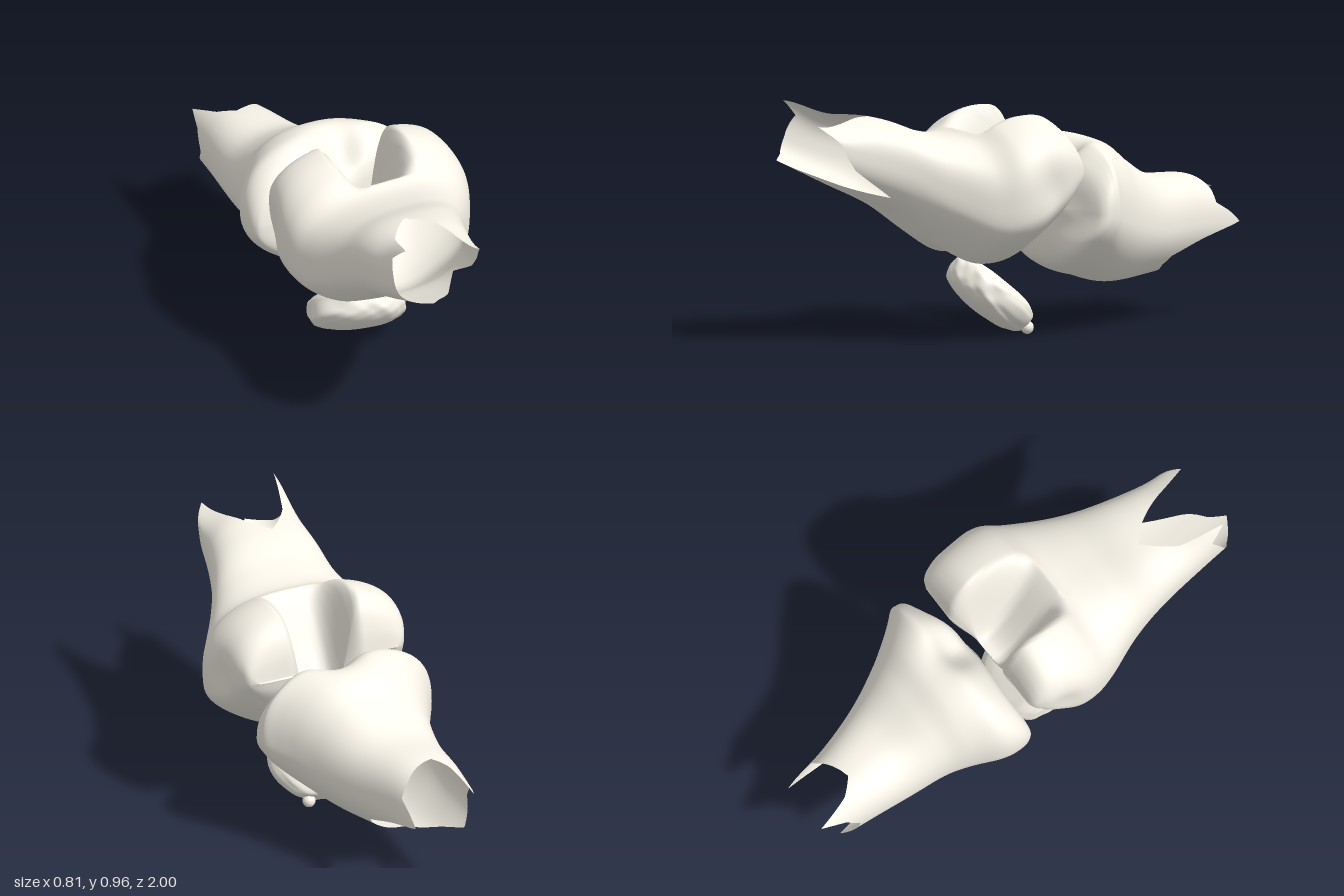
import * as THREE from 'three';

const material = new THREE.MeshStandardMaterial({ color: 0xf8f4e9, side: THREE.DoubleSide });
const smooth = (v, a, b) => THREE.MathUtils.smoothstep(v, a, b);
const bell = (v, centre, width) => Math.exp(-(((v - centre) / width) ** 2));
const lerp = THREE.MathUtils.lerp;

// Smooth spline through the rows of a station table
function station(rows, u) {
  const n = rows.length - 1;
  const i = Math.min(Math.floor(u), n - 1);
  const t = u - i;
  const [a, b, c, d] = [i - 1, i, i + 1, i + 2].map(k => rows[THREE.MathUtils.clamp(k, 0, n)]);
  return b.map((v, k) => v + 0.5 * t * (c[k] - a[k]
    + t * (2 * a[k] - 5 * v + 4 * c[k] - d[k] + t * (3 * (v - c[k]) + d[k] - a[k]))));
}

// Broken edge: z at an angle, straight lines between [degrees, z] points
function brokenEdge(points, degrees) {
  for (let i = 0; i < points.length - 1; i++) {
    const [a, za] = points[i], [b, zb] = points[i + 1];
    if (degrees <= b) return lerp(za, zb, (degrees - a) / (b - a));
  }
  return points[points.length - 1][1];
}

// Hollow bone lofted from a broken shaft end to a closed joint end.
// Station rows: z, left edge, right edge, bottom, top
function bone(name, rows, edge, power, shape) {
  const rings = 90, sides = 144, last = rows.length - 1;
  const positions = [], index = [];
  const sign = Math.sign(rows[0][0]);
  const starts = [];
  for (let j = 0; j < sides; j++) {
    const target = Math.abs(brokenEdge(edge, j * 360 / sides));
    let low = 0, high = 4;
    for (let k = 0; k < 20; k++) {
      const mid = (low + high) / 2;
      if (Math.abs(station(rows, mid)[0]) > target) low = mid; else high = mid;
    }
    starts.push(low);
  }
  for (let i = 0; i <= rings; i++) {
    for (let j = 0; j < sides; j++) {
      const u = starts[j] + (last - starts[j]) * i / rings;
      const [z, x0, x1, y0, y1] = station(rows, u);
      const angle = j * 2 * Math.PI / sides;
      const c = Math.cos(angle), s = Math.sin(angle);
      const p = new THREE.Vector3(
        (x0 + x1) / 2 + (x1 - x0) / 2 * Math.sign(c) * Math.abs(c) ** (2 / power),
        (y0 + y1) / 2 + (y1 - y0) / 2 * Math.sign(s) * Math.abs(s) ** (2 / power), z);
      shape(p, s);
      positions.push(p.x, p.y, p.z);
      if (i === rings) continue;
      const a = i * sides + j, b = i * sides + (j + 1) % sides;
      if (sign > 0) index.push(a, a + sides, b, b, a + sides, b + sides);
      else index.push(a, b, a + sides, b, b + sides, a + sides);
    }
  }
  const geometry = new THREE.BufferGeometry();
  geometry.setAttribute('position', new THREE.Float32BufferAttribute(positions, 3));
  geometry.setIndex(index);
  geometry.computeVertexNormals();
  const mesh = new THREE.Mesh(geometry, material);
  mesh.name = name;
  return mesh;
}

// Thigh bone: shaft widening into two condyles
function thighBone() {
  const rows = [
    [1.0, -0.29, 0.09, 0.73, 0.98],
    [0.8, -0.29, 0.11, 0.63, 0.92],
    [0.6, -0.30, 0.17, 0.53, 0.885],
    [0.45, -0.32, 0.25, 0.42, 0.83],
    [0.3, -0.37, 0.35, 0.312, 0.81],
    [0.2, -0.40, 0.40, 0.292, 0.87],
    [0.1, -0.405, 0.405, 0.325, 0.90],
    [0.0, -0.38, 0.385, 0.42, 0.89],
    [-0.06, -0.36, 0.365, 0.51, 0.84],
    [-0.095, -0.34, 0.345, 0.58, 0.76],
    [-0.11, -0.31, 0.31, 0.65, 0.66],
  ];
  const edge = [[0, 0.85], [45, 0.94], [65, 0.8], [95, 0.62], [120, 0.74], [140, 0.92],
    [155, 0.85], [185, 0.9], [215, 0.93], [255, 1.0], [280, 0.88], [315, 0.64], [340, 0.8], [360, 0.85]];
  return bone('thighBone', rows, edge, 2.6, (p, s) => {
    const { x, y, z } = p;
    // broken end rises towards one side
    p.y -= 0.4 * (x + 0.1) * smooth(z, 0.7, 0.92) * Math.max(0, s);
    // steep notch between the condyles, its floor sloping down from the shaft
    const notch = 1 - smooth(Math.abs(x), 0.06, 0.17);
    const floor = 0.49 + 0.36 * smooth(z, -0.02, 0.32);
    if (z < 0.32) p.y = lerp(y, Math.min(y, floor), notch);
    p.z = lerp(z, Math.max(z, -0.04), notch);
    // one condyle is shorter
    p.z += 0.035 * smooth(-x, 0, 0.2) * (1 - smooth(z, -0.11, 0.05));
    // underside tapers to two ridges with a groove facing the kneecap
    p.x -= (x + 0.07) * 0.17 * smooth(-s, 0.2, 0.9) * (1 - smooth(z, 0.3, 0.6)) * smooth(z, -0.1, 0.1);
    p.y += 0.06 * bell(x, -0.05, 0.11) * smooth(-s, 0, 0.9) * (1 - smooth(z, 0.2, 0.45)) * smooth(z, -0.05, 0.08);
    // hollows on the outer flanks
    p.x *= 1 - 0.05 * bell(z, 0.06, 0.06) * bell(y, 0.62, 0.1);
  });
}

// Shin bone: plateau narrowing into a shaft
function shinBone() {
  const rows = [
    [-1.0, -0.23, 0.045, 0.23, 0.52],
    [-0.8, -0.245, 0.08, 0.215, 0.565],
    [-0.6, -0.26, 0.15, 0.19, 0.585],
    [-0.45, -0.28, 0.22, 0.175, 0.67],
    [-0.35, -0.32, 0.28, 0.18, 0.745],
    [-0.25, -0.375, 0.35, 0.21, 0.775],
    [-0.18, -0.39, 0.36, 0.23, 0.755],
    [-0.12, -0.38, 0.355, 0.27, 0.70],
    [-0.095, -0.34, 0.31, 0.33, 0.64],
    [-0.09, -0.2, 0.18, 0.42, 0.57],
    [-0.09, -0.01, 0.01, 0.5, 0.51],
  ];
  const edge = [[0, -0.98], [12, -0.93], [22, -0.87], [45, -0.86], [95, -0.8], [115, -0.86], [135, -1.0],
    [155, -0.9], [180, -0.84], [212, -0.91], [235, -0.78], [270, -0.64], [310, -0.62],
    [325, -0.65], [360, -0.98]];
  return bone('shinBone', rows, edge, 2.4, (p, s) => {
    const { x, y, z } = p;
    // narrower front side
    p.x -= (x + 0.03) * 0.2 * smooth(-s, 0, 1);
    // leaning plateau, set back at one side, with shallow cups and a central ridge
    const plateau = smooth(z, -0.3, -0.1);
    p.z -= plateau * (0.12 * Math.max(0, y - 0.5) + 0.07 * smooth(x, 0.1, 0.36) * smooth(y, 0.3, 0.5));
    const face = smooth(z, -0.14, -0.09);
    p.z += face * (0.012 * bell(x, 0, 0.07) * bell(y, 0.52, 0.1)
      - 0.015 * bell(Math.abs(x), 0.2, 0.1) * bell(y, 0.53, 0.12));
    // hollow at the back
    p.y -= 0.09 * bell(x, 0.03, 0.09) * smooth(s, 0.2, 0.9) * bell(z, -0.17, 0.1);
  });
}

// Kneecap: tilted rough disc
function kneecap() {
  const geometry = new THREE.SphereGeometry(1, 80, 60);
  const position = geometry.attributes.position;
  const p = new THREE.Vector3();
  for (let i = 0; i < position.count; i++) {
    p.fromBufferAttribute(position, i);
    const { x, y, z } = p;
    const rough = 0.025 * Math.sin(7 * x + 3 * y) * Math.sin(6 * y - 4 * z + 1)
      + 0.015 * Math.sin(15 * x - 5 * z) * Math.sin(13 * y + 2) * (1 - y * y);
    p.multiplyScalar(1 + rough);
    // blunt rim, flatter inner face
    p.y = Math.sign(p.y) * Math.abs(p.y) ** 0.65;
    if (p.y > 0) p.y *= 0.9 - 0.2 * bell(x, 0, 0.6) * bell(z, 0, 0.6);
    position.setXYZ(i, p.x * 0.195, p.y * 0.092, p.z * 0.188);
  }
  geometry.computeVertexNormals();
  // match the normals along the sphere seam
  const normal = geometry.attributes.normal;
  for (let r = 0; r <= 60; r++) {
    const a = r * 81, b = a + 80;
    const n = new THREE.Vector3().fromBufferAttribute(normal, a)
      .add(new THREE.Vector3().fromBufferAttribute(normal, b)).normalize();
    normal.setXYZ(a, n.x, n.y, n.z);
    normal.setXYZ(b, n.x, n.y, n.z);
  }
  const group = new THREE.Group();
  group.name = 'kneecap';
  const body = new THREE.Mesh(geometry, material);
  body.name = 'kneecapBody';
  body.rotation.set(-0.67, 0, -0.18);
  body.position.set(-0.045, 0.16, 0.1);
  const spur = new THREE.Mesh(new THREE.SphereGeometry(0.026, 16, 12), material);
  spur.name = 'kneecapSpur';
  spur.position.set(0.045, 0.026, -0.015);
  group.add(body, spur);
  return group;
}

export function createModel() {
  const model = new THREE.Group();
  model.name = 'kneeJoint';
  model.add(thighBone(), shinBone(), kneecap());
  return model;
}
